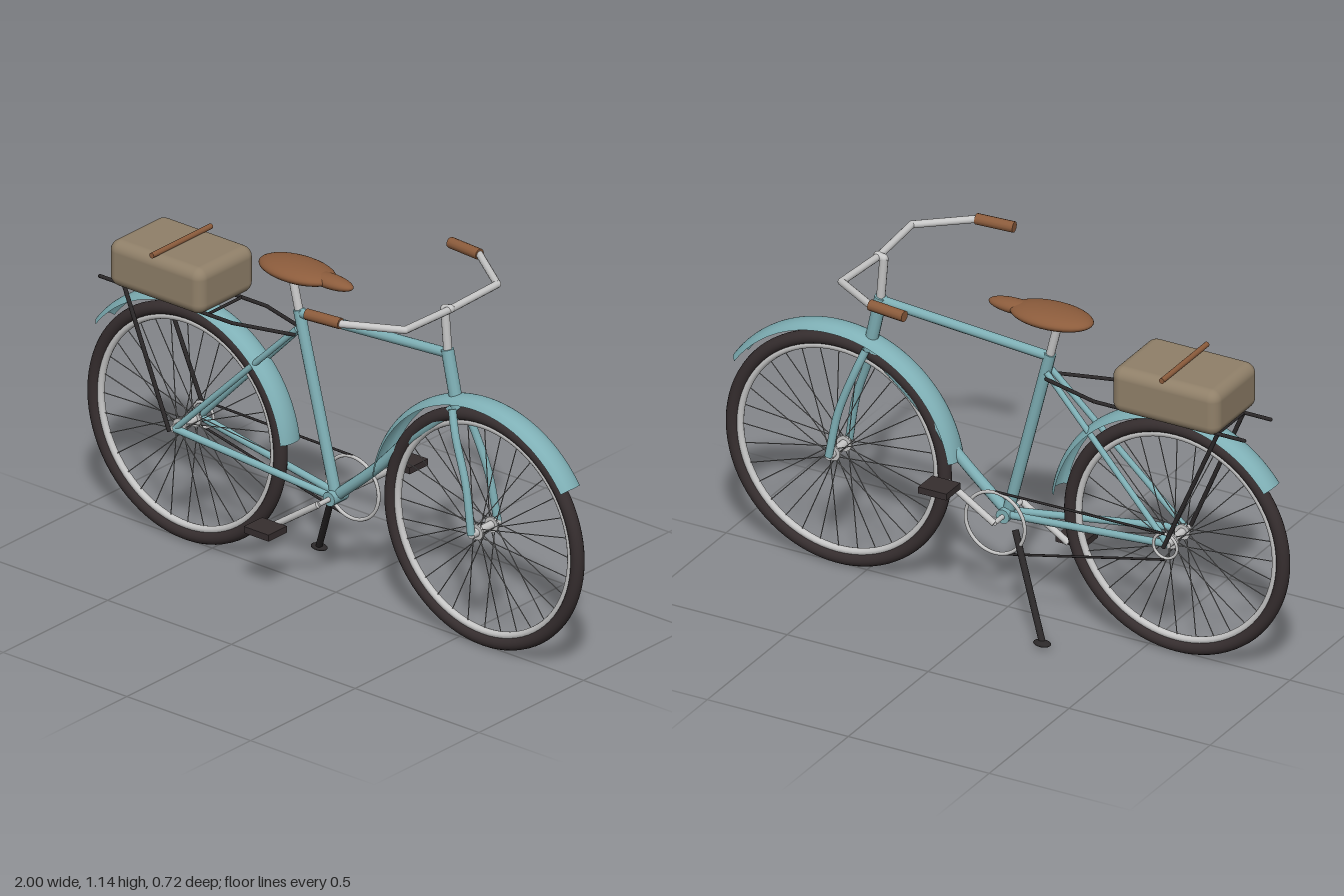
import * as THREE from 'three';
import { RoundedBoxGeometry } from 'three/addons/geometries/RoundedBoxGeometry.js';
import { mergeGeometries } from 'three/addons/utils/BufferGeometryUtils.js';

const V = (p) => new THREE.Vector3(...p);
const material = (name, color, side = THREE.FrontSide) =>
  Object.assign(new THREE.MeshStandardMaterial({ color, side }), { name });

// straight round bar between two points
function rodGeometry(a, b, r0, r1 = r0, sides = 12) {
  const from = V(a), dir = V(b).sub(from), len = dir.length();
  const g = new THREE.CylinderGeometry(r1, r0, len, sides);
  g.applyQuaternion(new THREE.Quaternion().setFromUnitVectors(V([0, 1, 0]), dir.normalize()));
  return g.translate(...from.addScaledVector(dir, len / 2).toArray());
}

// chain of bars with round joints
function polylineGeometry(points, r) {
  const parts = [];
  points.forEach((p, i) => {
    if (i) parts.push(rodGeometry(points[i - 1], p, r));
    parts.push(new THREE.SphereGeometry(r, 12, 8).translate(...p));
  });
  return mergeGeometries(parts);
}

const curveGeometry = (points, r) =>
  new THREE.TubeGeometry(new THREE.CatmullRomCurve3(points.map(V)), 32, r, 12);

export function createModel() {
  const model = new THREE.Group();
  const paint = material('framePaint', 0x7fb0b6, THREE.DoubleSide);
  const rubber = material('rubber', 0x362e2f);
  const metal = material('brightMetal', 0xc6c6c6);
  const wire = material('spokeWire', 0x8e8e8e);
  const black = material('blackMetal', 0x2b2829);
  const leather = material('leather', 0x8c5c3c);
  const canvas = material('canvas', 0x908069);

  const add = (name, geometry, mat, parent = model) => {
    const mesh = new THREE.Mesh(geometry, mat);
    mesh.name = name;
    parent.add(mesh);
    return mesh;
  };
  const rod = (name, a, b, r, mat) => add(name, rodGeometry(a, b, r), mat);

  // wheels
  function wheel(name, x) {
    const g = new THREE.Group();
    g.name = name;
    g.position.set(x, 0.4, 0);
    add('tyre', new THREE.TorusGeometry(0.376, 0.022, 16, 80), rubber, g);
    add('rim', new THREE.TorusGeometry(0.35, 0.012, 10, 80), metal, g);
    add('hub', rodGeometry([0, 0, -0.065], [0, 0, 0.065], 0.014, 0.014, 16), metal, g);
    const spokes = [];
    for (const s of [-1, 1]) {
      add('hubFlange', rodGeometry([0, 0, s * 0.032], [0, 0, s * 0.04], 0.026, 0.026, 20), metal, g);
    }
    const count = 32;
    for (let i = 0; i < count; i++) {
      const a = (i / count) * Math.PI * 2, s = i % 2 ? 1 : -1;
      const b = a + (i % 4 < 2 ? 0.5 : -0.5);
      spokes.push(rodGeometry([Math.cos(b) * 0.022, Math.sin(b) * 0.022, s * 0.036],
        [Math.cos(a) * 0.345, Math.sin(a) * 0.345, 0], 0.0017, 0.0017, 5));
    }
    add('spokes', mergeGeometries(spokes), wire, g);
    model.add(g);
  }
  wheel('rearWheel', -0.6);
  wheel('frontWheel', 0.6);

  // arched mudguards, angles in degrees around the wheel
  function mudguard(name, x, startDeg, endDeg) {
    const profile = [];
    for (let i = 0; i <= 10; i++) {
      const t = (i / 10) * 2 - 1;
      profile.push(new THREE.Vector2(0.413 + 0.025 * Math.sqrt(1 - t * t * 0.98), t * 0.045));
    }
    const rad = THREE.MathUtils.degToRad;
    const g = new THREE.LatheGeometry(profile, 48, rad(startDeg + 90), rad(endDeg - startDeg));
    add(name, g.rotateX(Math.PI / 2), paint).position.set(x, 0.4, 0);
  }
  mudguard('rearMudguard', -0.6, 8, 143);
  mudguard('frontMudguard', 0.6, 34, 171);

  // frame
  const bottom = [0, 0.33, 0];
  rod('seatTube', bottom, [-0.15, 0.92, 0], 0.019, paint);
  rod('topTube', [-0.145, 0.91, 0], [0.455, 0.952, 0], 0.016, paint);
  rod('headTube', [0.45, 0.965, 0], [0.498, 0.745, 0], 0.021, paint);
  add('downTube', curveGeometry([bottom, [0.17, 0.48, 0], [0.3, 0.615, 0], [0.485, 0.775, 0]], 0.018), paint);
  rod('bottomBracket', [0, 0.33, -0.035], [0, 0.33, 0.035], 0.024, paint);
  for (const s of [-1, 1]) {
    rod('seatStay', [-0.145, 0.86, s * 0.015], [-0.6, 0.4, s * 0.06], 0.01, paint);
    rod('chainStay', [0, 0.33, s * 0.015], [-0.6, 0.4, s * 0.06], 0.012, paint);
    add('forkBlade', curveGeometry([[0.49, 0.78, s * 0.025], [0.52, 0.7, s * 0.043],
      [0.57, 0.56, s * 0.055], [0.6, 0.4, s * 0.064]], 0.013), paint);
  }

  // saddle
  rod('seatPost', [-0.148, 0.91, 0], [-0.18, 1.04, 0], 0.014, metal);
  const saddlePart = (name, x, sx, sy, sz) =>
    add(name, new THREE.SphereGeometry(1, 32, 20).scale(sx, sy, sz), leather).position.set(x, 1.054, 0);
  saddlePart('saddle', -0.155, 0.143, 0.03, 0.08);
  saddlePart('saddleNose', -0.025, 0.092, 0.022, 0.034);

  // handlebar
  add('stem', polylineGeometry([[0.452, 0.955, 0], [0.44, 1.1, 0], [0.462, 1.105, 0]], 0.014), metal);
  for (const s of [-1, 1]) {
    add('handlebar', polylineGeometry([[0.46, 1.102, 0], [0.466, 1.112, s * 0.22],
      [0.3, 1.123, s * 0.332], [0.2, 1.125, s * 0.341]], 0.012), metal);
    rod('grip', [0.3, 1.124, s * 0.332], [0.172, 1.122, s * 0.344], 0.018, leather);
  }

  // luggage rack
  for (const s of [-1, 1]) {
    add('rackRail', polylineGeometry([[-0.885, 0.842, s * 0.082], [-0.35, 0.842, s * 0.082],
      [-0.15, 0.842, s * 0.025]], 0.006), black);
    rod('rackStay', [-0.79, 0.842, s * 0.08], [-0.6, 0.4, s * 0.087], 0.007, black);
  }
  for (const x of [-0.79, -0.62, -0.45]) {
    rod('rackCrossbar', [x, 0.842, -0.082], [x, 0.842, 0.082], 0.005, black);
  }

  // bag and strap
  add('bag', new RoundedBoxGeometry(0.38, 0.156, 0.27, 5, 0.036), canvas).position.set(-0.625, 0.927, 0);
  rod('bagStrap', [-0.625, 1.01, -0.142], [-0.625, 1.01, 0.142], 0.009, leather);

  // drivetrain
  add('chainring', new THREE.TorusGeometry(0.105, 0.006, 8, 48), metal).position.set(0, 0.33, -0.08);
  add('rearSprocket', new THREE.TorusGeometry(0.042, 0.005, 8, 24), metal).position.set(-0.6, 0.4, -0.075);
  rod('chainTop', [-0.6, 0.445, -0.08], [0, 0.438, -0.08], 0.004, black);
  rod('chainBottom', [-0.6, 0.355, -0.08], [-0.03, 0.228, -0.08], 0.004, black);
  rod('crankAxle', [0, 0.33, -0.085], [0, 0.33, 0.085], 0.008, metal);
  for (const s of [-1, 1]) {
    const x = -s * 0.16, y = 0.33 - s * 0.11;
    rod('crankArm', [0, 0.33, s * 0.086], [x, y, s * 0.097], 0.011, metal);
    add('pedal', new THREE.BoxGeometry(0.1, 0.022, 0.088), rubber).position.set(x, y, s * 0.148);
  }

  // kickstand
  rod('kickstand', [-0.06, 0.31, -0.06], [-0.23, 0.02, -0.19], 0.011, black);
  add('kickstandFoot', new THREE.SphereGeometry(1, 20, 12).scale(0.03, 0.01, 0.02), black)
    .position.set(-0.23, 0.02, -0.192);

  return model;
}
